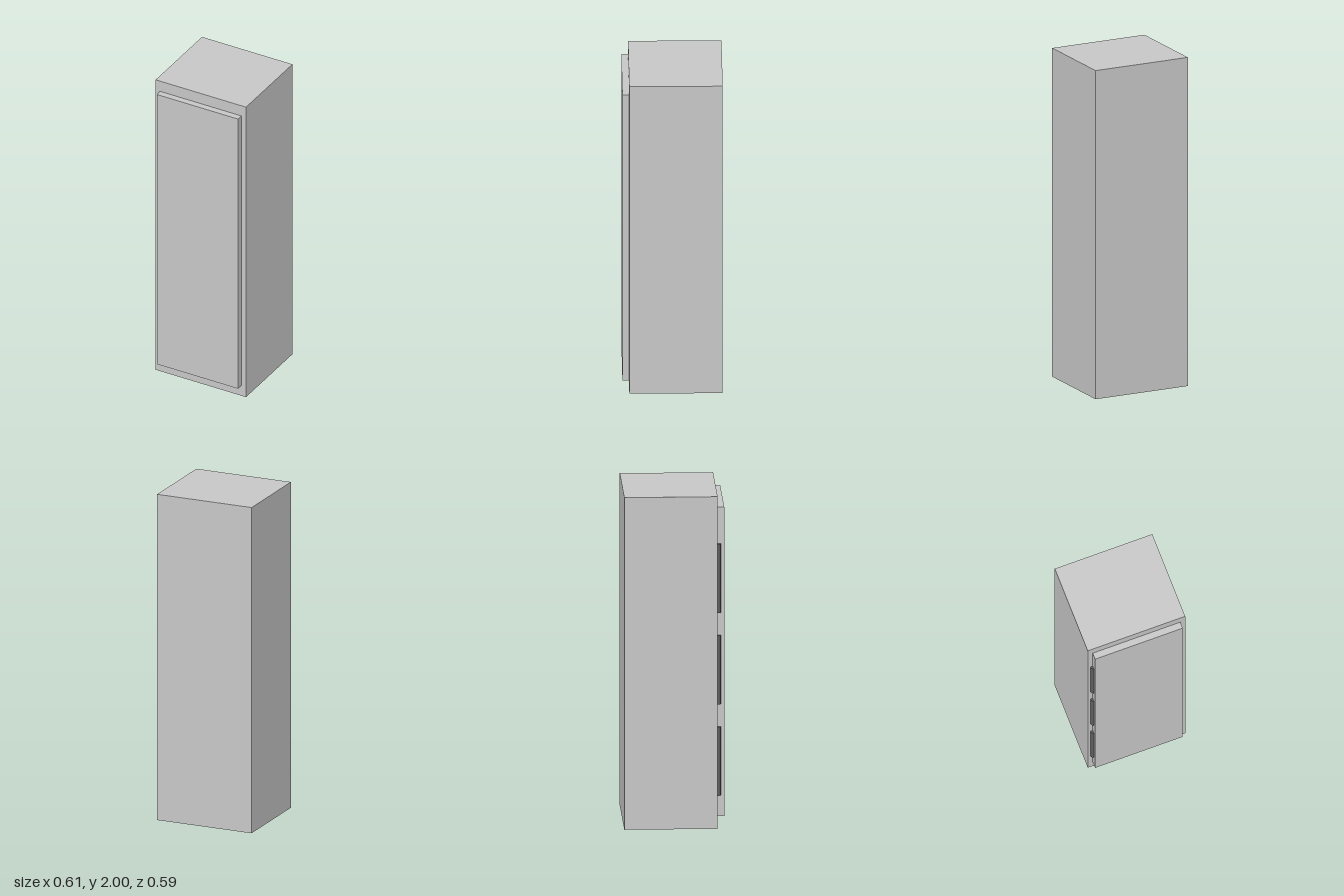
import * as THREE from 'three';

export function createModel() {
  const group = new THREE.Group();

  const panelGrey = new THREE.MeshStandardMaterial({ color: 0xc8c8c8 });
  panelGrey.name = 'panel grey';
  const hingeGrey = new THREE.MeshStandardMaterial({ color: 0x606060 });
  hingeGrey.name = 'hinge dark grey';

  const add = (name, geometry, material, x, y, z) => {
    const mesh = new THREE.Mesh(geometry, material);
    mesh.name = name;
    mesh.position.set(x, y, z);
    group.add(mesh);
  };

  // Cabinet body and the door standing proud of its front
  add('cabinetBody', new THREE.BoxGeometry(0.61, 2, 0.547), panelGrey, 0, 1, -0.0205);
  add('door', new THREE.BoxGeometry(0.548, 1.86, 0.04), panelGrey, 0, 1, 0.273);

  // Three long hinge barrels, half sunk into the door edge
  const barrel = new THREE.CylinderGeometry(0.0145, 0.0145, 0.415, 24);
  ['lowerHinge', 'middleHinge', 'upperHinge'].forEach((name, i) => {
    add(name, barrel, hingeGrey, -0.2735, 0.402 + i * 0.55, 0.258);
  });

  return group;
}
